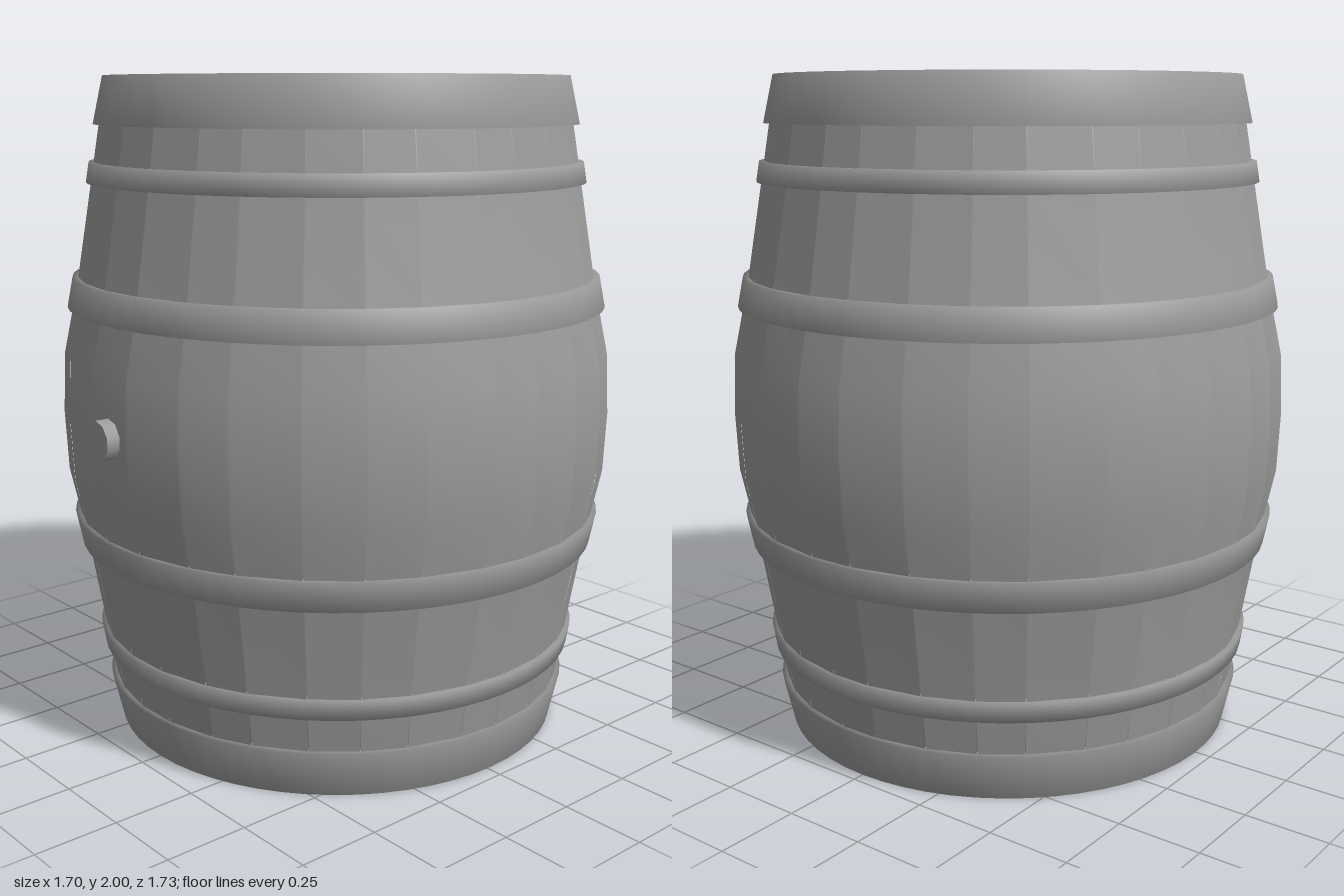
import * as THREE from 'three';

const STAVES = 30;
const CENTRE_Z = -0.015;

// Lower half of the outer bulge as [radius, height]; the upper half mirrors it
const LOWER = [[0.69, 0], [0.715, 0.14], [0.742, 0.3], [0.793, 0.6], [0.84, 0.82]];
const BULGE = [...LOWER, [0.848, 1], ...LOWER.map(([r, y]) => [r, 2 - y]).reverse()];

// Revolved surface with normals averaged along the profile; repeated points stay sharp
function revolve(points, segments, start = 0, length = Math.PI * 2) {
  const geo = new THREE.LatheGeometry(points.map(([r, y]) => new THREE.Vector2(r, y)), segments, start, length);
  if (segments === 1) geo.computeVertexNormals();
  return geo;
}

// One board of a round head, cut from a disc between two depths
function headPlank(radius, z0, z1, thickness) {
  const shape = new THREE.Shape();
  const half = (z) => Math.sqrt(Math.max(0, radius * radius - z * z));
  const n = 12;
  for (let i = 0; i <= n; i++) {
    const z = z0 + (z1 - z0) * i / n;
    if (i === 0) shape.moveTo(half(z), z);
    else shape.lineTo(half(z), z);
  }
  for (let i = n; i >= 0; i--) {
    const z = z0 + (z1 - z0) * i / n;
    shape.lineTo(-half(z), z);
  }
  const geo = new THREE.ExtrudeGeometry(shape, { depth: thickness, bevelEnabled: false });
  geo.rotateX(Math.PI / 2);
  return geo;
}

export function createModel() {
  const model = new THREE.Group();
  model.name = 'barrel';
  const grey = new THREE.MeshStandardMaterial({ color: 0x9c9c9c });
  grey.name = 'grey';

  const add = (parent, name, geometry) => {
    const mesh = new THREE.Mesh(geometry, grey);
    mesh.name = name;
    parent.add(mesh);
    return mesh;
  };
  const addGroup = (name) => {
    const group = new THREE.Group();
    group.name = name;
    group.position.z = CENTRE_Z;
    model.add(group);
    return group;
  };

  // Staves: slightly uneven widths, each with a flat rim and sloping inner lip
  const staves = addGroup('staves');
  const profile = [
    [0.635, 0.06], [0.66, 0], [0.66, 0], [0.69, 0],
    ...BULGE,
    [0.69, 2], [0.66, 2], [0.66, 2], [0.635, 1.94],
  ];
  const weights = Array.from({ length: STAVES }, (_, i) => 1 + 0.15 * Math.sin(i * 2.4));
  const total = weights.reduce((a, b) => a + b, 0);
  const gap = 0.004;
  let angle = -Math.PI * weights[0] / total;
  for (const weight of weights) {
    const width = Math.PI * 2 * weight / total;
    add(staves, 'stave', revolve(profile, 1, angle + gap / 2, width - gap));
    angle += width;
  }

  // Closed core behind the seams
  const core = addGroup('core');
  const inner = BULGE.slice(1, -1).map(([r, y]) => [r - 0.018, y]);
  add(core, 'innerWall', revolve([[0, 0.09], [0.64, 0.09], [0.64, 0.09], ...inner, [0.64, 1.91], [0.64, 1.91], [0, 1.91]], 60));

  // Planked heads, recessed at both ends
  const heads = addGroup('heads');
  const radius = 0.645;
  const step = 0.23;
  for (const top of [1.94, 0.085]) {
    for (let i = 0; i < 6; i++) {
      const z0 = Math.max(-radius, (i - 3) * step + 0.0015);
      const z1 = Math.min(radius, (i - 2) * step - 0.0015);
      add(heads, 'headPlank', headPlank(radius, z0, z1, 0.025)).position.y = top;
    }
  }

  // Hoops: [low height, low radius, high height, high radius], mirrored top to bottom
  const hoops = addGroup('hoops');
  const bands = [
    ['endHoop', 0, 0.7, 0.14, 0.732],
    ['quarterHoop', 0.25, 0.748, 0.31, 0.758],
    ['bulgeHoop', 0.59, 0.808, 0.68, 0.826],
  ];
  for (const [name, y0, r0, y1, r1] of bands) {
    const section = [[r0 - 0.03, y0], [r0, y0], [r1, y1], [r1 - 0.03, y1]];
    add(hoops, name, revolve(section, 60));
    add(hoops, name, revolve(section.map(([r, y]) => [r, 2 - y]).reverse(), 60));
  }

  // Bung at the front of the bulge
  const bung = add(model, 'bung', new THREE.CylinderGeometry(0.06, 0.06, 0.07, 10));
  bung.rotation.x = Math.PI / 2;
  bung.position.set(0, 1.005, 0.832);

  return model;
}
